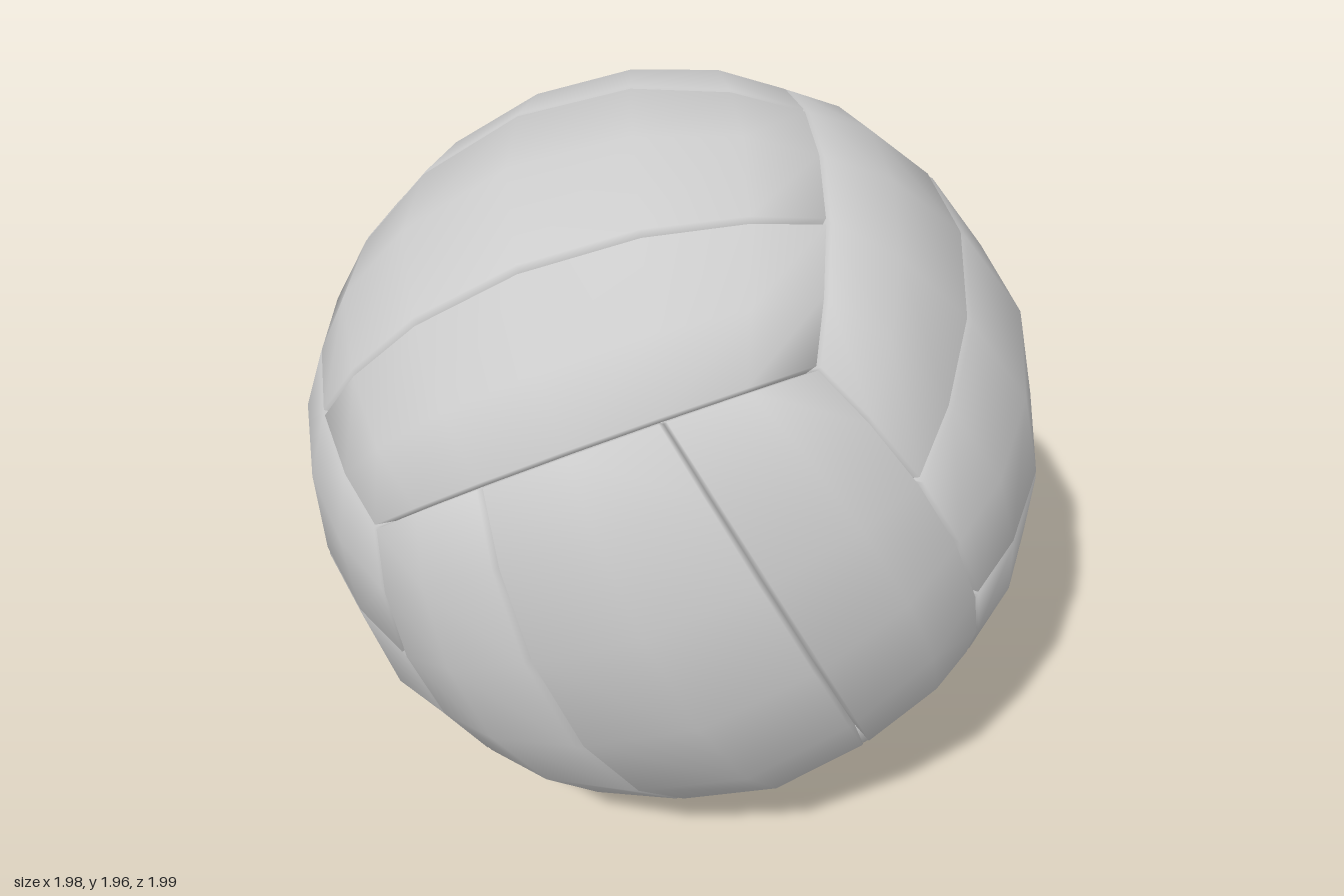
import * as THREE from 'three';

const LENGTH_SEGMENTS = 6, WIDTH_SEGMENTS = 2;
const INSET = 0.014;      // half the seam width at the outer surface
const SEAM_RADIUS = 0.93; // depth at which neighbouring panels meet

// Stations from lo to hi: seam bottom, rounded top, seam bottom
function stations(lo, hi, segments) {
  const list = [lo];
  for (let i = 0; i <= segments; i++) {
    list.push(THREE.MathUtils.lerp(lo + INSET, hi - INSET, i / segments));
  }
  list.push(hi);
  return list;
}

// One padded strip: a patch of a cube face projected on the ball, with side walls
function panelGeometry(normal, along, across, lo, hi) {
  const us = stations(-1, 1, LENGTH_SEGMENTS), vs = stations(lo, hi, WIDTH_SEGMENTS);
  const positions = [], indices = [], p = new THREE.Vector3();
  us.forEach((u, i) => vs.forEach((v, j) => {
    const wall = i === 0 || j === 0 || i === us.length - 1 || j === vs.length - 1;
    const rim = i === 1 || j === 1 || i === us.length - 2 || j === vs.length - 2;
    const radius = wall ? SEAM_RADIUS : rim ? 0.99 : 1;
    p.copy(normal).addScaledVector(along, u).addScaledVector(across, v).setLength(radius);
    positions.push(p.x, p.y, p.z);
  }));
  const w = vs.length;
  for (let i = 0; i < us.length - 1; i++) {
    for (let j = 0; j < w - 1; j++) {
      const a = i * w + j, b = a + w;
      indices.push(a, b, b + 1, a, b + 1, a + 1);
    }
  }
  const geometry = new THREE.BufferGeometry();
  geometry.setAttribute('position', new THREE.Float32BufferAttribute(positions, 3));
  geometry.setIndex(indices);
  geometry.computeVertexNormals();
  return geometry;
}

export function createModel() {
  const ball = new THREE.Group();
  ball.name = 'ball';
  const material = new THREE.MeshStandardMaterial({ color: 0xcccccc });

  // Tilted cube axes that set the panel layout
  const x = new THREE.Vector3(-0.192, 0.897, 0.4).normalize();
  const y = new THREE.Vector3(-0.715, -0.392, 0.58);
  y.addScaledVector(x, -x.dot(y)).normalize();
  const z = new THREE.Vector3().crossVectors(x, y);
  const axes = [x, y, z];

  // Six faces of three strips, each face turned against its neighbours
  for (let i = 0; i < 3; i++) {
    for (const side of [1, -1]) {
      const face = new THREE.Group();
      face.name = 'panelGroup';
      const normal = axes[i].clone().multiplyScalar(side);
      const across = axes[(i + 2) % 3].clone().multiplyScalar(side);
      for (let k = 0; k < 3; k++) {
        const lo = -1 + (2 * k) / 3;
        const panel = new THREE.Mesh(
          panelGeometry(normal, axes[(i + 1) % 3], across, lo, lo + 2 / 3), material);
        panel.name = k === 1 ? 'middlePanel' : 'sidePanel';
        face.add(panel);
      }
      ball.add(face);
    }
  }
  ball.position.y = 1;

  const model = new THREE.Group();
  model.name = 'volleyball';
  model.add(ball);
  return model;
}
